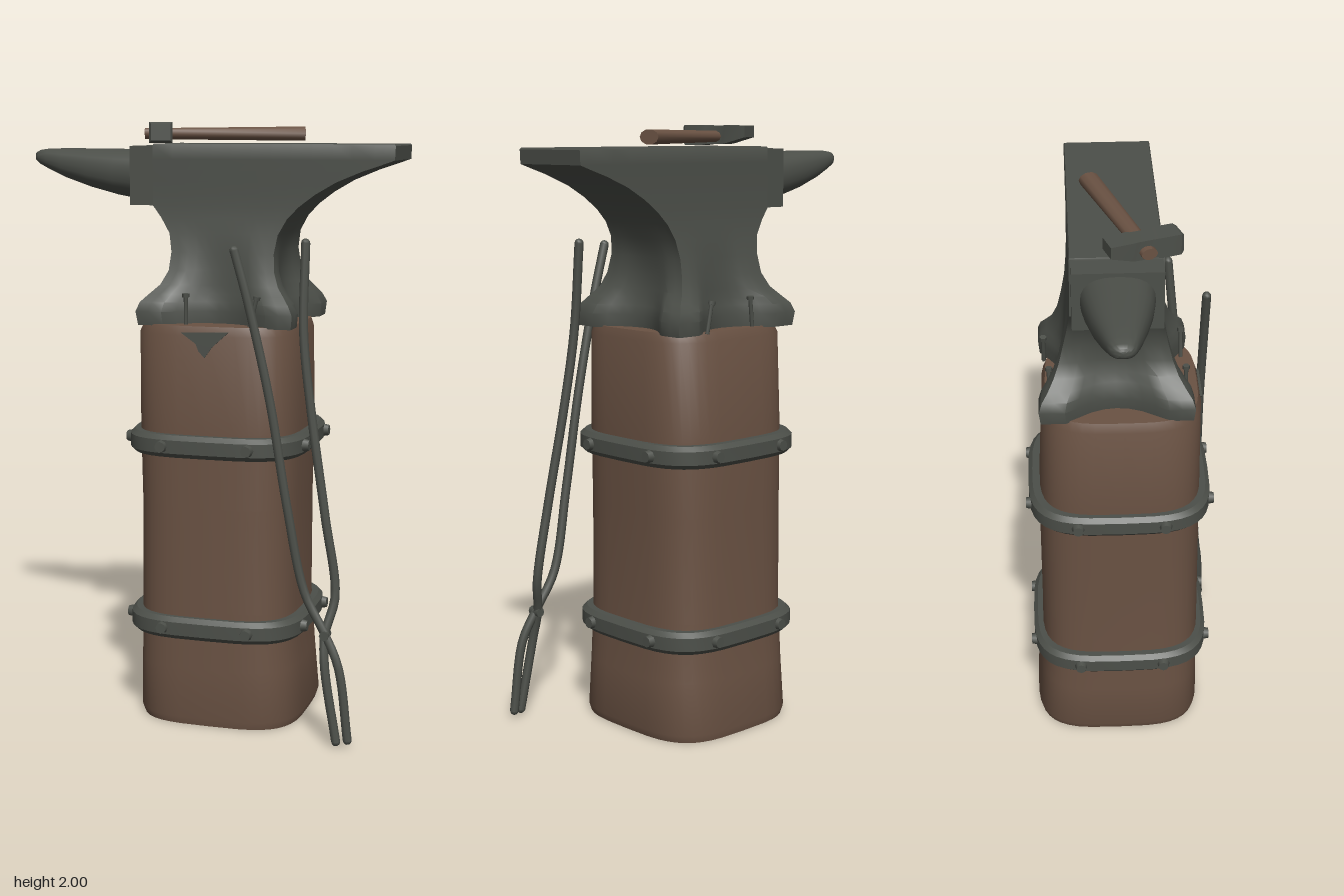
import * as THREE from 'three';
import { toCreasedNormals } from 'three/addons/utils/BufferGeometryUtils.js';

const steel = new THREE.MeshStandardMaterial({ color: 0x4c4f49 });
steel.name = 'dark steel';
const wood = new THREE.MeshStandardMaterial({ color: 0x6a5243 });
wood.name = 'brown wood';

// Skins a stack of equal-length loops (rising along y) and caps both ends.
function loft(rows, crease = 0.6) {
  const n = rows[0].length, pos = [], idx = [];
  rows.forEach(r => r.forEach(p => pos.push(...p)));
  for (let i = 0; i < rows.length - 1; i++) {
    for (let j = 0; j < n; j++) {
      const a = i * n + j, b = i * n + (j + 1) % n;
      idx.push(a, a + n, b + n, a, b + n, b);
    }
  }
  [0, rows.length - 1].forEach(i => {
    const c = pos.length / 3;
    pos.push(...[0, 1, 2].map(k => rows[i].reduce((s, p) => s + p[k], 0) / n));
    for (let j = 0; j < n; j++) {
      const a = i * n + j, b = i * n + (j + 1) % n;
      if (i === 0) idx.push(c, a, b); else idx.push(c, b, a);
    }
  });
  const g = new THREE.BufferGeometry();
  g.setAttribute('position', new THREE.Float32BufferAttribute(pos, 3));
  g.setIndex(idx);
  return toCreasedNormals(g, crease);
}

// Rounded-square loop at height y, between x0..x1 and z0..z1.
function rounded(y, x0, x1, z0, z1, power = 3.6, n = 40) {
  const e = 2 / power;
  return Array.from({ length: n }, (_, i) => {
    const a = (i / n) * Math.PI * 2, c = Math.cos(a), s = Math.sin(a);
    return [(x0 + x1) / 2 + Math.sign(c) * Math.abs(c) ** e * (x1 - x0) / 2, y,
      (z0 + z1) / 2 + Math.sign(s) * Math.abs(s) ** e * (z1 - z0) / 2];
  });
}

// Rectangular loop whose sides are scooped inwards at their middles.
function scooped(y, x0, x1, z0, z1, scoop = 0, k = 12) {
  const corners = [[x1, z0], [x1, z1], [x0, z1], [x0, z0]], out = [];
  corners.forEach(([ax, az], s) => {
    const [bx, bz] = corners[(s + 1) % 4];
    const len = Math.hypot(bx - ax, bz - az);
    for (let i = 0; i < k; i++) {
      const t = i / k, u = (2 * t - 1) / 0.62;
      const d = scoop * Math.max(0, 1 - u * u);
      out.push([ax + (bx - ax) * t - (bz - az) / len * d, y, az + (bz - az) * t + (bx - ax) / len * d]);
    }
  });
  return out;
}

export function createModel() {
  const model = new THREE.Group();
  const add = (name, geo, mat, parent = model) => {
    const m = new THREE.Mesh(geo, mat);
    m.name = name;
    parent.add(m);
    return m;
  };

  // Stump
  add('stump', loft([
    [0.005, -0.21, 0.34, -0.315, 0.26],
    [0.03, -0.22, 0.348, -0.32, 0.265],
    [0.2, -0.217, 0.335, -0.305, 0.262],
    [0.4, -0.213, 0.322, -0.293, 0.26],
    [0.75, -0.212, 0.322, -0.292, 0.257],
    [1.0, -0.218, 0.327, -0.288, 0.255],
    [1.32, -0.218, 0.324, -0.272, 0.252],
    [1.35, -0.205, 0.315, -0.26, 0.242],
  ].map(r => rounded(...r))), wood);

  // Split in the front of the stump
  const split = new THREE.Shape([[-0.03, 1.33], [0.02, 1.295], [0.03, 1.27], [0.05, 1.25], [0.075, 1.285], [0.13, 1.335]]
    .map(p => new THREE.Vector2(...p)));
  add('stumpSplit', new THREE.ExtrudeGeometry(split, { depth: 0.008, bevelEnabled: false }), steel).position.z = 0.248;

  // Iron hoops with rivets
  const band = [[-0.037, -0.02], [-0.037, 0.018], [-0.022, 0.032], [0.022, 0.032], [0.037, 0.018], [0.037, -0.02]];
  [0.343, 0.957].forEach(y => {
    const hoop = new THREE.Group();
    hoop.name = 'hoop';
    model.add(hoop);
    add('hoopBand', loft(band.map(([h, e]) =>
      rounded(y + h, -0.217 - e, 0.327 + e, -0.295 - e, 0.258 + e)), 0.5), steel, hoop);
    [-1, 1].forEach(side => [-1, 1].forEach(end => {
      const rivet = new THREE.CylinderGeometry(0.018, 0.024, 0.03, 8);
      add('hoopRivet', rivet.clone().rotateX(Math.PI / 2 * side), steel, hoop)
        .position.set(0.055 + end * 0.145, y, -0.018 + side * 0.302);
      add('hoopRivet', rivet.clone().rotateZ(-Math.PI / 2 * side), steel, hoop)
        .position.set(0.055 + side * 0.3, y, -0.018 + end * 0.145);
    }));
  });

  // Anvil foot, waist and heel
  add('anvilBody', loft([
    [1.345, -0.19, 0.325, -0.275, 0.215, 0.075],
    [1.39, -0.197, 0.33, -0.28, 0.22, 0.075],
    [1.42, -0.185, 0.315, -0.27, 0.21, 0.07],
    [1.445, -0.16, 0.295, -0.25, 0.19, 0.055],
    [1.475, -0.128, 0.27, -0.23, 0.168, 0.035],
    [1.52, -0.105, 0.253, -0.212, 0.15, 0.02],
    [1.58, -0.1, 0.247, -0.198, 0.135, 0.008],
    [1.64, -0.11, 0.257, -0.186, 0.124],
    [1.69, -0.14, 0.285, -0.18, 0.118],
    [1.73, -0.17, 0.323, -0.177, 0.116],
    [1.77, -0.17, 0.376, -0.176, 0.115],
    [1.81, -0.17, 0.445, -0.175, 0.115],
    [1.845, -0.17, 0.53, -0.175, 0.115],
    [1.865, -0.17, 0.59, -0.175, 0.115],
    [1.88, -0.17, 0.633, -0.175, 0.115],
    [1.925, -0.17, 0.635, -0.175, 0.115],
    [1.93, -0.168, 0.631, -0.172, 0.112],
  ].map(r => scooped(...r))), steel);

  // Step block between face and horn
  add('anvilStep', new THREE.BoxGeometry(0.13, 0.193, 0.28), steel).position.set(-0.187, 1.826, -0.03);

  // Horn, lofted upright then turned to point at -x: [distance, bottom, top, z0, z1]
  add('anvilHorn', loft([
    [0.23, 1.74, 1.91, -0.147, 0.087],
    [0.33, 1.757, 1.911, -0.135, 0.073],
    [0.43, 1.782, 1.912, -0.117, 0.053],
    [0.53, 1.815, 1.912, -0.093, 0.03],
    [0.59, 1.842, 1.911, -0.078, 0.015],
    [0.62, 1.857, 1.907, -0.068, 0.005],
    [0.635, 1.868, 1.9, -0.055, -0.008],
    [0.639, 1.875, 1.893, -0.043, -0.02],
  ].map(([d, lo, hi, z0, z1]) => rounded(d, lo, hi, z0, z1, 2.5, 24)), 0.8).rotateZ(Math.PI / 2), steel);

  // Nails holding the foot
  [[-0.03, 0.2, 0], [0.185, 0.2, 0.25], [-0.03, -0.245, 0.1], [0.19, -0.262, -0.2]].forEach(([x, z, tilt]) => {
    const nail = new THREE.Group();
    nail.name = 'nail';
    nail.position.set(x, 1.35, z);
    nail.rotation.z = -tilt;
    model.add(nail);
    add('nailShank', new THREE.CylinderGeometry(0.007, 0.007, 0.1, 6), steel, nail).position.y = 0.045;
    add('nailHead', new THREE.CylinderGeometry(0.012, 0.012, 0.012, 6), steel, nail).position.y = 0.095;
  });

  // Hammer lying on the face; its head runs along local z
  const hammer = new THREE.Group();
  hammer.name = 'hammer';
  hammer.position.set(-0.163, 1.967, 0.05);
  hammer.rotation.y = 0.32;
  model.add(hammer);
  add('hammerHead', loft([
    [-0.117, -0.036, 0.036, -0.008, 0.03],
    [-0.045, -0.038, 0.038, -0.028, 0.032],
    [-0.03, -0.034, 0.034, -0.031, 0.031],
    [0.03, -0.034, 0.034, -0.031, 0.031],
    [0.045, -0.038, 0.038, -0.034, 0.033],
    [0.108, -0.038, 0.038, -0.034, 0.033],
    [0.118, -0.031, 0.031, -0.027, 0.027],
  ].map(([d, x0, x1, lo, hi]) => scooped(d, x0, x1, -hi, -lo, 0, 1)), 0.3).rotateX(Math.PI / 2), steel, hammer);
  const handle = new THREE.CylinderGeometry(0.034, 0.026, 0.53, 10, 1).rotateZ(-Math.PI / 2).scale(1, 0.72, 1);
  add('hammerHandle', toCreasedNormals(handle, 0.9), wood, hammer).position.set(0.212, -0.005, 0);

  // Tongs leaning on the stump
  const arms = [
    [[0.155, 1.6, 0.278], [0.2, 1.44, 0.278], [0.275, 1.12, 0.277], [0.335, 0.78, 0.28], [0.395, 0.5, 0.277],
      [0.465, 0.375, 0.29], [0.515, 0.27, 0.305], [0.55, 0.03, 0.312]],
    [[0.36, 1.62, 0.165], [0.363, 1.33, 0.192], [0.395, 1.08, 0.21], [0.45, 0.75, 0.235], [0.49, 0.49, 0.25],
      [0.465, 0.37, 0.282], [0.47, 0.27, 0.305], [0.514, 0.025, 0.322]],
  ];
  const tongs = new THREE.Group();
  tongs.name = 'tongs';
  model.add(tongs);
  arms.forEach(points => {
    const path = new THREE.CatmullRomCurve3(points.map(p => new THREE.Vector3(...p)));
    add('tongArm', new THREE.TubeGeometry(path, 48, 0.015, 8), steel, tongs);
    [0, points.length - 1].forEach(i =>
      add('tongTip', new THREE.SphereGeometry(0.015, 8, 6), steel, tongs).position.set(...points[i]));
  });
  add('tongPivot', new THREE.CylinderGeometry(0.016, 0.016, 0.045, 8).rotateX(Math.PI / 2), steel, tongs)
    .position.set(0.467, 0.37, 0.287);

  return model;
}
